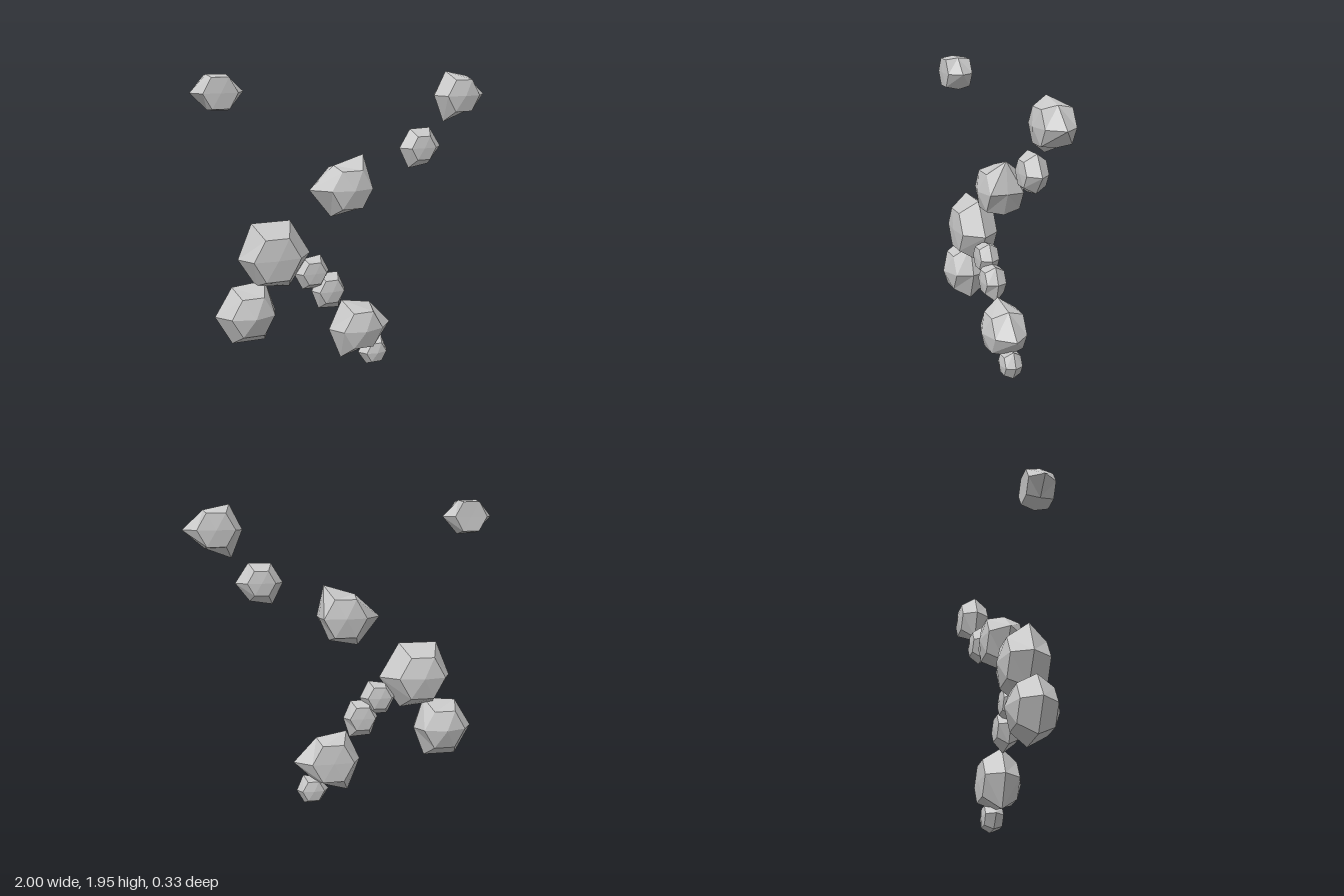
import * as THREE from 'three';

const stone = new THREE.MeshStandardMaterial({ color: 0xc8c8c8 });
stone.name = 'pale grey stone';

// Flattened faceted rock: a six-point rim at z = 0, a shoulder ring and a tip on each side.
// rim = radii at 60 degree steps, clockwise from the left.
function addRock(group, name, x, y, rim, ringRadius, frontDepth, backDepth) {
  const pos = [];
  const point = (i, radius, z) => {
    const a = Math.PI - (i * Math.PI) / 3;
    return [radius * Math.cos(a), radius * Math.sin(a), z];
  };
  const half = (side, depth) => {
    const outer = rim.map((r, i) => point(i, r, 0));
    const inner = rim.map((r, i) => point(i, Math.min(ringRadius, r * 0.95), side * ringRadius * 0.8));
    const tip = [0, 0, side * depth];
    const tri = (a, b, c) => pos.push(...(side > 0 ? [...a, ...b, ...c] : [...a, ...c, ...b]));
    for (let i = 0; i < 6; i++) {
      const j = (i + 1) % 6;
      tri(outer[i], inner[i], inner[j]);
      tri(outer[i], inner[j], outer[j]);
      tri(inner[i], tip, inner[j]);
    }
  };
  half(1, frontDepth);
  half(-1, backDepth);

  const geometry = new THREE.BufferGeometry();
  geometry.setAttribute('position', new THREE.Float32BufferAttribute(pos, 3));
  geometry.computeVertexNormals(); // unshared corners give flat facets
  const mesh = new THREE.Mesh(geometry, stone);
  mesh.name = name;
  mesh.position.set(x, y, 0);
  group.add(mesh);
}

export function createModel() {
  const group = new THREE.Group();
  group.name = 'floatingRocks';

  // Upper rocks, floating apart
  addRock(group, 'upperLeftRock', -0.835, 1.845, [0.165, 0.123, 0.12, 0.165, 0.13, 0.12], 0.108, 0.095, 0.085);
  addRock(group, 'upperRightRock', 0.8, 1.77, [0.17, 0.18, 0.14, 0.2, 0.13, 0.2], 0.118, 0.12, 0.11);
  addRock(group, 'rightSmallRock', 0.525, 1.44, [0.145, 0.14, 0.145, 0.155, 0.13, 0.155], 0.088, 0.08, 0.08);
  addRock(group, 'middleRock', 0, 1.21, [0.25, 0.17, 0.24, 0.15, 0.17, 0.21], 0.14, 0.15, 0.14);

  // Lower rocks, forming an arch
  addRock(group, 'largeRock', -0.51, 0.81, [0.22, 0.255, 0.255, 0.26, 0.235, 0.21], 0.155, 0.14, 0.165);
  addRock(group, 'lowerLeftRock', -0.67, 0.46, [0.215, 0.207, 0.23, 0.18, 0.215, 0.215], 0.14, 0.165, 0.165);
  addRock(group, 'upperLinkRock', -0.24, 0.68, [0.12, 0.105, 0.125, 0.12, 0.127, 0.125], 0.08, 0.07, 0.075);
  addRock(group, 'lowerLinkRock', -0.125, 0.55, [0.115, 0.13, 0.13, 0.115, 0.147, 0.137], 0.085, 0.08, 0.075);
  addRock(group, 'lowerRock', 0.08, 0.275, [0.2, 0.22, 0.18, 0.24, 0.17, 0.235], 0.138, 0.155, 0.12);
  addRock(group, 'bottomRock', 0.2, 0.087, [0.11, 0.09, 0.115, 0.1, 0.1, 0.1], 0.072, 0.075, 0.07);
  return group;
}
